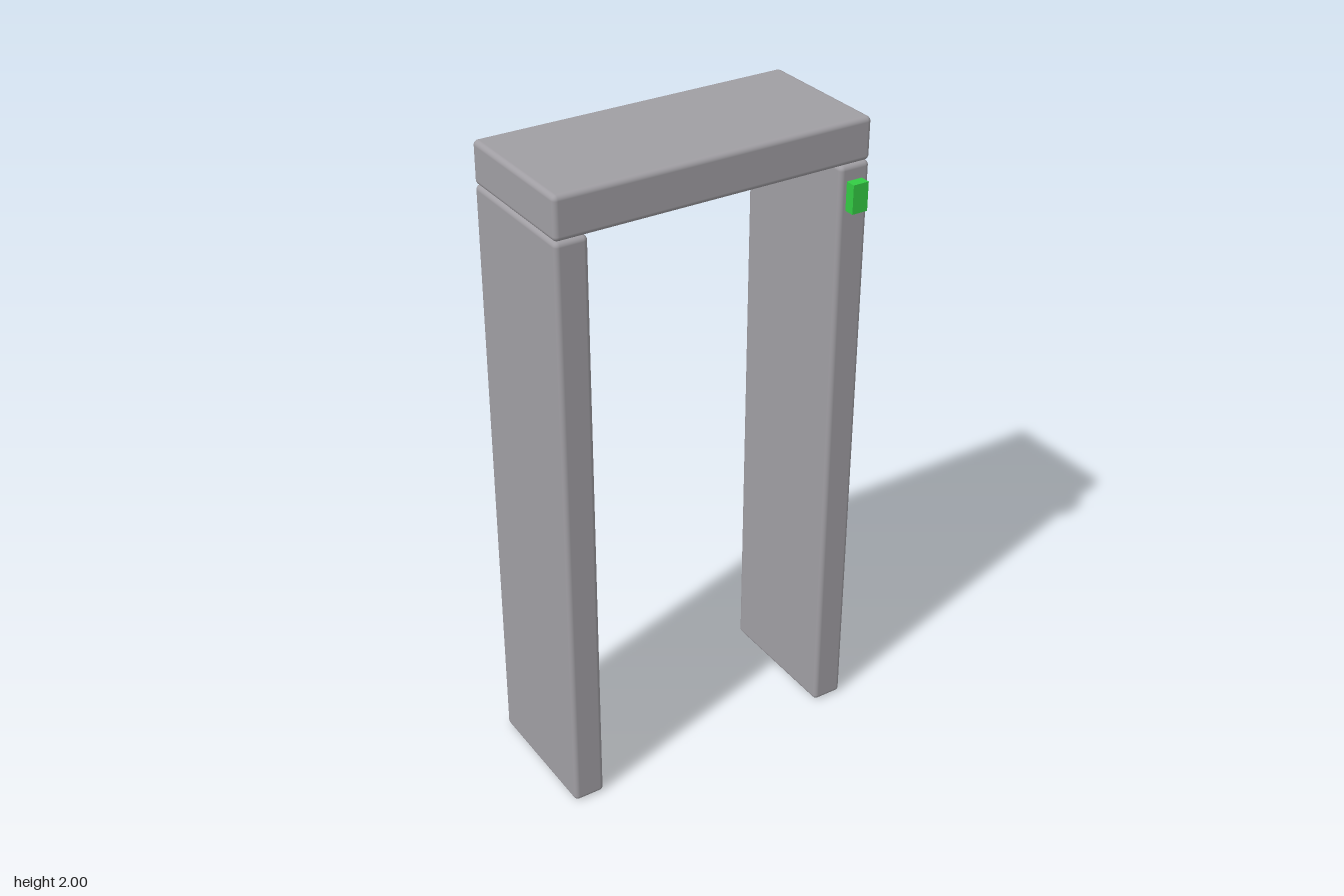
import * as THREE from 'three';
import { RoundedBoxGeometry } from 'three/addons/geometries/RoundedBoxGeometry.js';

export function createModel() {
  const group = new THREE.Group();
  const grey = new THREE.MeshStandardMaterial({ color: 0xa09ea3 });
  grey.name = 'panel grey';
  const green = new THREE.MeshStandardMaterial({ color: 0x33cc44 });
  green.name = 'indicator green';

  const W = 0.994, LEG_H = 1.872, LEG_W = 0.1, DEPTH = 0.442, Z = -0.016;

  function add(name, geometry, material, x, y, z) {
    const mesh = new THREE.Mesh(geometry, material);
    mesh.name = name;
    mesh.position.set(x, y, z);
    group.add(mesh);
  }

  // Upright side panels with softened edges
  for (const [name, side] of [['leftPanel', 1], ['rightPanel', -1]]) {
    add(name, new RoundedBoxGeometry(LEG_W, LEG_H, DEPTH, 3, 0.015), grey,
      side * (W - LEG_W) / 2, LEG_H / 2, Z);
  }

  // Header beam across the top
  add('headerBeam', new RoundedBoxGeometry(W, 2 - LEG_H, DEPTH, 3, 0.015), grey,
    0, (2 + LEG_H) / 2, Z);

  // Indicator light on the front edge of the left panel
  add('indicatorLight', new THREE.BoxGeometry(0.051, 0.088, 0.04), green, 0.445, 1.782, 0.217);

  return group;
}
